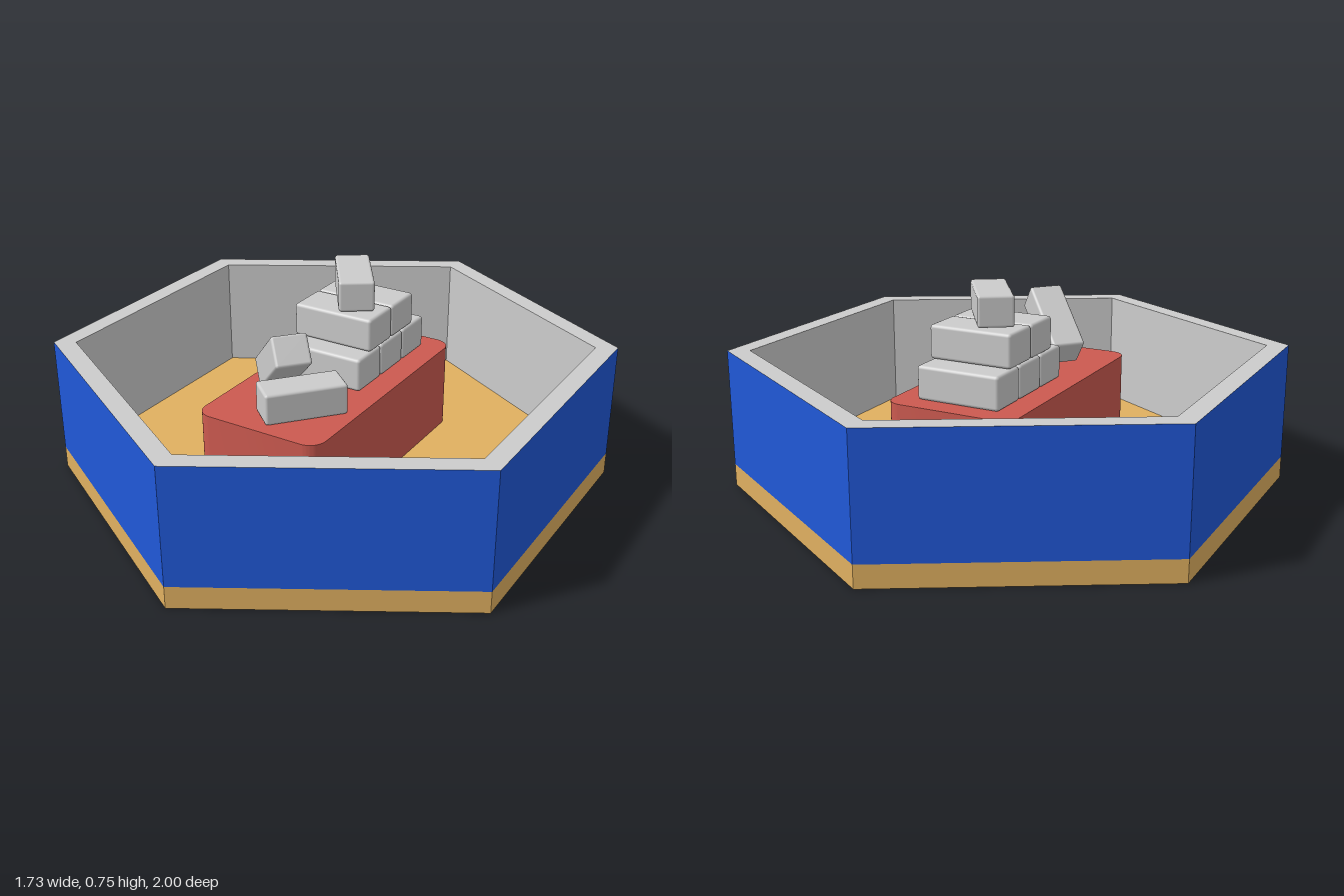
import * as THREE from 'three';
import { RoundedBoxGeometry } from 'three/addons/geometries/RoundedBoxGeometry.js';
import { toCreasedNormals } from 'three/addons/utils/BufferGeometryUtils.js';

const FLOOR = 0.08, RIM = 0.505, INNER = 0.92, TABLE = 0.395;

const mat = (color, flatShading = false) => new THREE.MeshStandardMaterial({ color, flatShading });

function add(parent, name, geometry, material) {
  const mesh = new THREE.Mesh(geometry, material);
  mesh.name = name;
  parent.add(mesh);
  return mesh;
}

// Six-sided band swept from [radius, y] points, with a corner pointing to +z
function hexBand(points) {
  return new THREE.LatheGeometry(points.map(([r, y]) => new THREE.Vector2(r, y)), 6);
}

function roundedSlab(w, d, h, r) {
  const x = w / 2, y = d / 2, s = new THREE.Shape();
  s.moveTo(-x + r, -y);
  s.lineTo(x - r, -y);
  s.absarc(x - r, -y + r, r, -Math.PI / 2, 0);
  s.lineTo(x, y - r);
  s.absarc(x - r, y - r, r, 0, Math.PI / 2);
  s.lineTo(-x + r, y);
  s.absarc(-x + r, y - r, r, Math.PI / 2, Math.PI);
  s.lineTo(-x, -y + r);
  s.absarc(-x + r, -y + r, r, Math.PI, Math.PI * 1.5);
  const g = new THREE.ExtrudeGeometry(s, { depth: h, bevelEnabled: false, curveSegments: 8 });
  return toCreasedNormals(g.rotateX(-Math.PI / 2), 0.6);
}

export function createModel() {
  const model = new THREE.Group();
  model.name = 'hexagonalTray';
  const grey = mat(0xcccccc), flatGrey = mat(0xcccccc, true);

  // Hexagonal floor plate
  add(model, 'base', new THREE.CylinderGeometry(1, 1, FLOOR, 6), mat(0xe0b060, true))
    .position.y = FLOOR / 2;

  // Wall: coloured outside, grey rim and inside
  add(model, 'outerWall', hexBand([[1, FLOOR], [1, RIM]]), mat(0x2058d8, true));
  add(model, 'rim', hexBand([[1, RIM], [INNER, RIM]]), flatGrey);
  add(model, 'innerWall', hexBand([[INNER, RIM], [INNER, FLOOR]]), flatGrey);

  // Raised block in the middle
  add(model, 'pedestal', roundedSlab(0.48, 0.96, TABLE - FLOOR, 0.06), mat(0xcc5a50))
    .position.set(0, FLOOR, 0.025);

  // Stacked bricks: three below, two above
  const bricks = new THREE.Group();
  bricks.name = 'bricks';
  model.add(bricks);
  const large = new RoundedBoxGeometry(0.31, 0.12, 0.153, 2, 0.012);
  [[-0.303, -0.145, 0.013], [-0.217, -0.06]].forEach((row, level) => {
    for (const z of row) {
      add(bricks, 'stackedBrick', large, grey)
        .position.set(0, TABLE + 0.06 + level * 0.122, z);
    }
  });

  // Smaller bricks: on top of the stack, lying flat, and leaning
  const small = new RoundedBoxGeometry(0.285, 0.11, 0.125, 2, 0.01);
  const loose = [
    ['topBrick', [0, 0.697, -0.135], [0, -0.975, 0]],
    ['flatBrick', [0.066, TABLE + 0.056, 0.317], [0, 0.866, 0]],
    ['leaningBrick', [-0.041, 0.54, 0.267], [0, -0.71, 0.663]],
  ];
  for (const [name, position, rotation] of loose) {
    const brick = add(bricks, name, small, grey);
    brick.position.set(...position);
    brick.rotation.set(...rotation);
  }
  return model;
}
